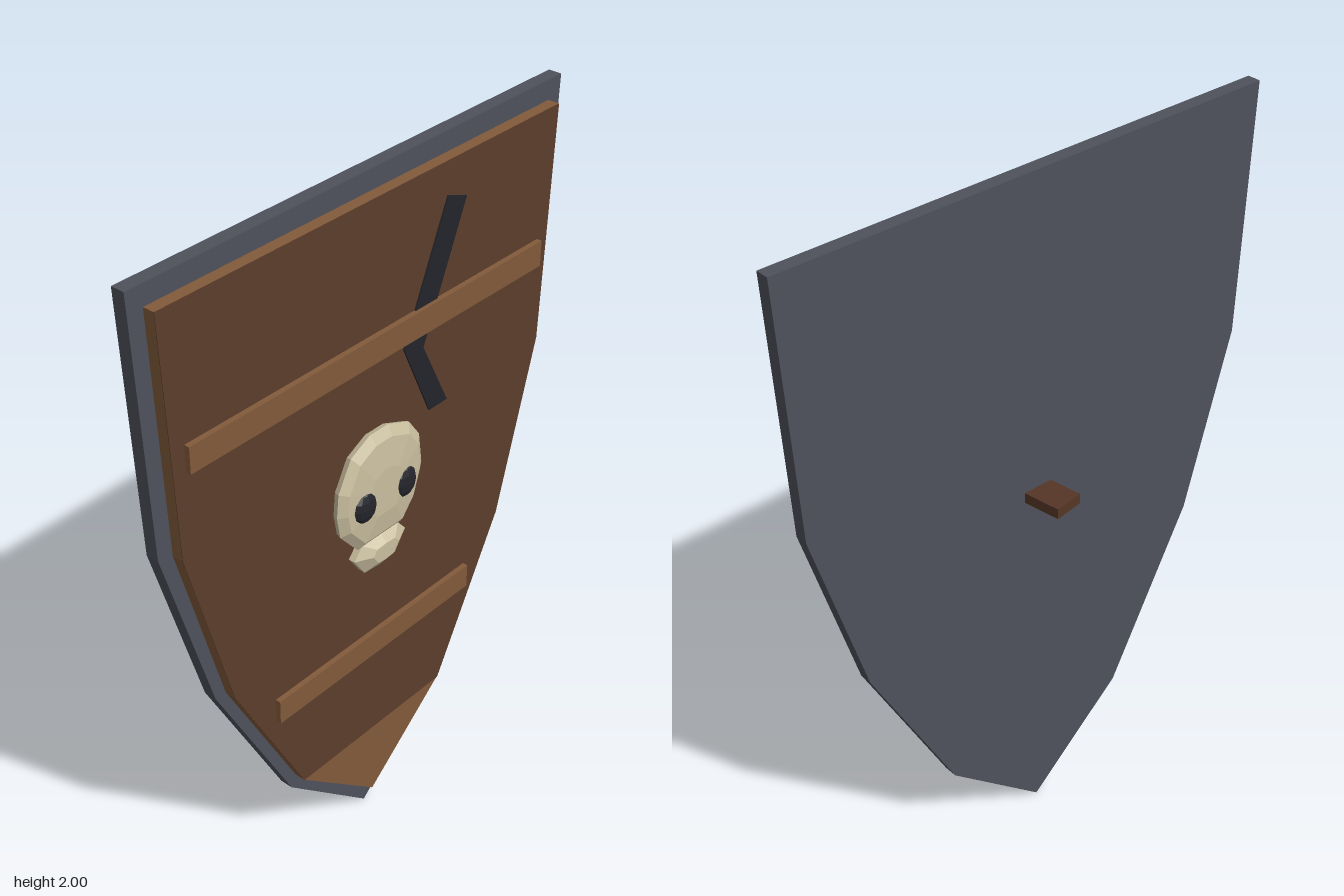
import * as THREE from 'three';
import { ConvexGeometry } from 'three/addons/geometries/ConvexGeometry.js';

const mat = (color) => new THREE.MeshStandardMaterial({ color, flatShading: true });
const iron = mat(0x4e525b), wood = mat(0x825a3a), darkWood = mat(0x5c3d2a);
const bone = mat(0xc9be9f), black = mat(0x24252b), grip = mat(0x553625);

// Right half of an outline, top to bottom, mirrored into a closed shape
function mirrored(half) {
  const left = half.filter(([x]) => x > 0).map(([x, y]) => [-x, y]).reverse();
  return [...half, ...left];
}

function plate(points, z0, z1) {
  const shape = new THREE.Shape(points.map(([x, y]) => new THREE.Vector2(x, y)));
  const geometry = new THREE.ExtrudeGeometry(shape, { depth: z1 - z0, bevelEnabled: false });
  return geometry.translate(0, 0, z0);
}

// Faceted dome: outline rings shrunk towards a centre at rising depths
function dome(points, cx, cy, rings) {
  const hull = [];
  for (const [scale, z] of rings) {
    for (const [x, y] of points) {
      hull.push(new THREE.Vector3(cx + (x - cx) * scale, cy + (y - cy) * scale, z));
    }
  }
  return new ConvexGeometry(hull);
}

export function createModel() {
  const model = new THREE.Group();
  const add = (name, geometry, material, parent = model) => {
    const mesh = new THREE.Mesh(geometry, material);
    mesh.name = name;
    parent.add(mesh);
    return mesh;
  };

  // Iron backing and rim
  const rim = [[0.743, 2], [0.71, 1.29], [0.56, 0.77], [0.3, 0.27], [0, 0]];
  add('rim', plate(mirrored(rim), -0.008, 0.03), iron);

  // Wooden board with its dark stained face above the bare tip
  const board = [[0.695, 1.945], [0.665, 1.28], [0.525, 0.77], [0.283, 0.307], [0, 0.067]];
  add('board', plate(mirrored(board), 0.03, 0.062), wood);
  add('stainedFace', plate(mirrored(board.slice(0, 4)), 0.062, 0.0635), darkWood);

  // Cross battens
  for (const [name, y, width] of [['upperBatten', 1.552, 1.275], ['lowerBatten', 0.631, 0.765]]) {
    add(name, new THREE.BoxGeometry(width, 0.073, 0.018).translate(0, y, 0.07), wood);
  }

  // Bent crack
  const crack = [[0.257, 1.855], [0.328, 1.83], [0.176, 1.47], [0.277, 1.27], [0.206, 1.27], [0.102, 1.495]];
  add('crack', plate(crack, 0.062, 0.068), black);

  // Skull emblem
  const skull = new THREE.Group();
  skull.name = 'skull';
  model.add(skull);
  const cranium = [[0.03, 1.32], [0.11, 1.288], [0.152, 1.23], [0.164, 1.14], [0.135, 1.05], [0.085, 0.99],
    [-0.085, 0.99], [-0.15, 1.065], [-0.162, 1.13], [-0.156, 1.2], [-0.11, 1.285], [-0.04, 1.32]];
  add('cranium', dome(cranium, 0, 1.14, [[0.96, 0.06], [1, 0.08], [0.85, 0.097], [0.4, 0.106]]), bone, skull);
  const jaw = [[0.07, 0.995], [0.1, 0.96], [0.06, 0.903], [0, 0.897]];
  add('jaw', dome([...mirrored(jaw), [0, 1]], 0, 0.955, [[1, 0.06], [1, 0.083], [0.5, 0.105]]), bone, skull);
  for (const side of [-1, 1]) {
    const eye = add(side > 0 ? 'leftEye' : 'rightEye', new THREE.SphereGeometry(1, 8, 6), black, skull);
    eye.scale.set(0.041, 0.045, 0.016);
    eye.position.set(side * 0.077, 1.13, 0.1);
  }

  // Grip on the back
  const handle = add('grip', new THREE.BoxGeometry(0.088, 0.03, 0.13), grip);
  handle.position.set(-0.01, 1.093, -0.046);
  handle.rotation.y = 0.15;

  return model;
}
